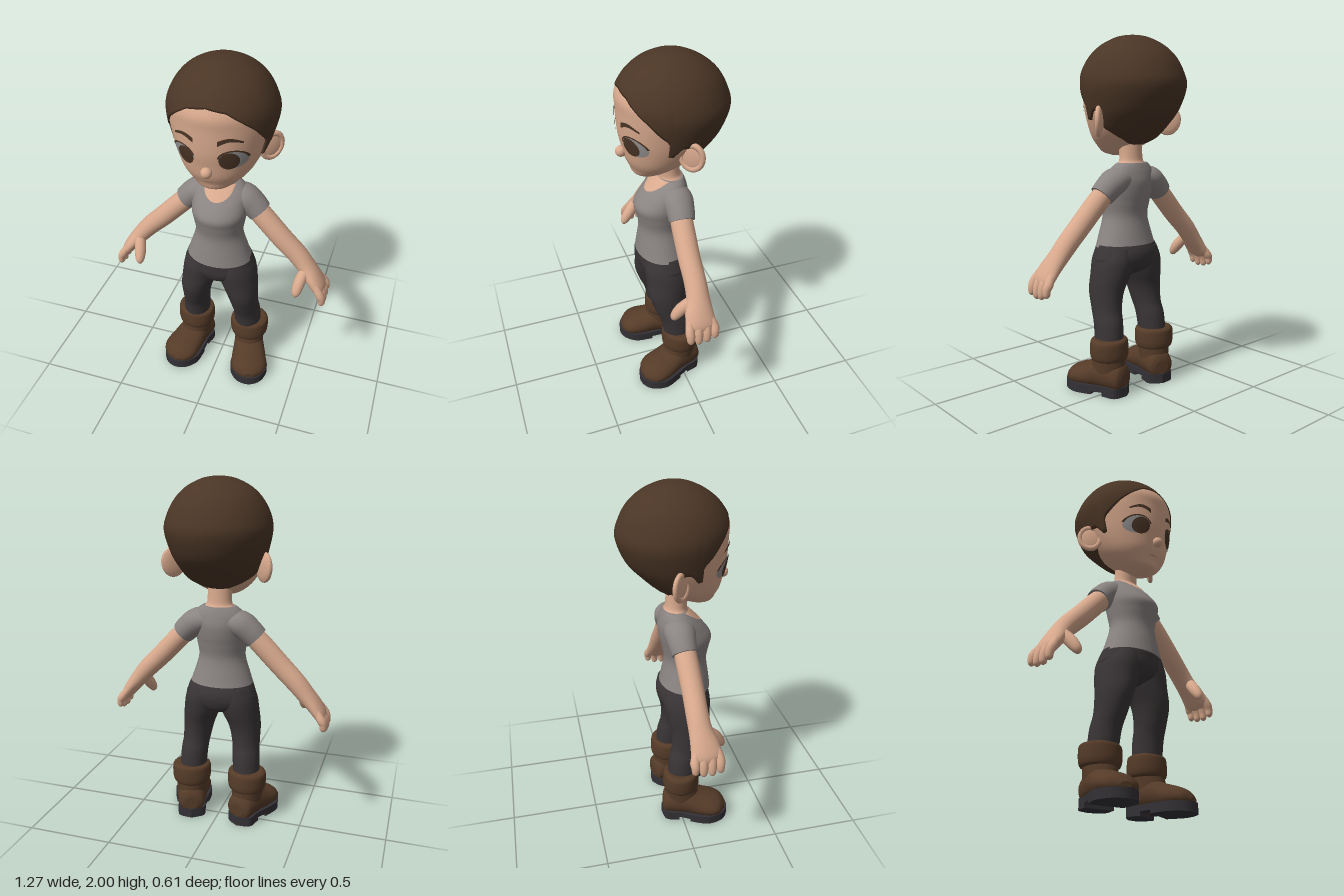
import * as THREE from 'three';

const mat = (name, color, side = THREE.FrontSide) => {
  const m = new THREE.MeshStandardMaterial({ color, side });
  m.name = name;
  return m;
};

// Smooth value between rows at t in 0..1
function sample(rows, t) {
  const f = Math.min(Math.max(t, 0), 1) * (rows.length - 1);
  const i = Math.min(Math.floor(f), rows.length - 2), s = f - i;
  const at = k => rows[Math.min(Math.max(k, 0), rows.length - 1)];
  const [a, b, c, d] = [at(i - 1), at(i), at(i + 1), at(i + 2)];
  return b.map((_, k) => 0.5 * (2 * b[k] + (c[k] - a[k]) * s + (2 * a[k] - 5 * b[k] + 4 * c[k] - d[k]) * s * s
    + (3 * b[k] - a[k] - 3 * c[k] + d[k]) * s * s * s));
}

// Row of an upright profile at height y
function atY(rows, y) {
  let lo = 0, hi = 1;
  for (let k = 0; k < 26; k++) {
    const m = (lo + hi) / 2;
    if (sample(rows, m)[1] < y) lo = m; else hi = m;
  }
  return sample(rows, (lo + hi) / 2);
}

// Grid of points f(u, v); its front is where du x dv points
function grid(f, nu, nv) {
  const pos = [], idx = [];
  for (let i = 0; i <= nu; i++) for (let j = 0; j <= nv; j++) pos.push(...f(i / nu, j / nv));
  for (let i = 0; i < nu; i++) for (let j = 0; j < nv; j++) {
    const a = i * (nv + 1) + j, b = a + nv + 1;
    idx.push(a, b, a + 1, a + 1, b, b + 1);
  }
  const g = new THREE.BufferGeometry();
  g.setAttribute('position', new THREE.Float32BufferAttribute(pos, 3));
  g.setIndex(idx);
  g.computeVertexNormals();
  return g;
}

// Elliptical sections swept through rows [x, y, z, sideRadius, otherRadius], closed with caps
function sweep(rows, { axis = null, side = [0, 0, 1], seg = 28, steps = 5 } = {}) {
  const n = (rows.length - 1) * steps, pos = [], idx = [];
  for (let i = 0; i <= n; i++) {
    const r = sample(rows, i / n);
    const p = sample(rows, (i - 0.5) / n), q = sample(rows, (i + 0.5) / n);
    const t = axis ? new THREE.Vector3(...axis) : new THREE.Vector3(q[0] - p[0], q[1] - p[1], q[2] - p[2]).normalize();
    const s = new THREE.Vector3(...side);
    s.addScaledVector(t, -s.dot(t)).normalize();
    const w = t.clone().cross(s);
    for (let j = 0; j < seg; j++) {
      const a = j / seg * Math.PI * 2;
      const v = new THREE.Vector3(r[0], r[1], r[2]).addScaledVector(w, r[4] * Math.cos(a)).addScaledVector(s, r[3] * Math.sin(a));
      pos.push(v.x, v.y, v.z);
    }
  }
  for (let i = 0; i < n; i++) for (let j = 0; j < seg; j++) {
    const a = i * seg + j, b = i * seg + (j + 1) % seg;
    idx.push(a, a + seg, b, b, a + seg, b + seg);
  }
  for (const end of [0, n]) {
    const base = pos.length / 3;
    pos.push(...pos.slice(end * seg * 3, (end + 1) * seg * 3), ...sample(rows, end / n).slice(0, 3));
    for (let j = 0; j < seg; j++) {
      const a = base + j, b = base + (j + 1) % seg;
      idx.push(...(end ? [a, base + seg, b] : [a, b, base + seg]));
    }
  }
  const g = new THREE.BufferGeometry();
  g.setAttribute('position', new THREE.Float32BufferAttribute(pos, 3));
  g.setIndex(idx);
  g.computeVertexNormals();
  return g;
}

// Thin plate laid on the front of an upright profile
const patch = (rows, f, lift, nu = 10, nv = 28) => grid((u, v) => {
  const [x, y] = f(u, v), r = atY(rows, y);
  return [x, y, r[2] + r[3] * Math.sqrt(Math.max(0, 1 - (x / r[4]) ** 2)) + lift];
}, nu, nv);
const oval = (cx, cy, rx, ry, r0 = 0, r1 = 1, a0 = 0, a1 = Math.PI * 2) => (u, v) => {
  const r = r0 + (r1 - r0) * u, a = a0 + (a1 - a0) * v;
  return [cx + rx * r * Math.cos(a), cy + ry * r * Math.sin(a)];
};

// Hair edge height by angle from the front
const HAIRLINE = [[0, 1.842], [0.38, 1.825], [0.6, 1.785], [0.83, 1.73], [1.06, 1.67], [1.25, 1.63], [1.3, 1.545],
  [1.42, 1.54], [1.5, 1.59], [1.68, 1.59], [1.85, 1.5], [2.3, 1.45], [2.7, 1.415], [3.15, 1.4]];
function hairEdge(a) {
  const i = Math.max(1, HAIRLINE.findIndex(p => p[0] >= a));
  const [p, q] = [HAIRLINE[i - 1], HAIRLINE[i]];
  return p[1] + (q[1] - p[1]) * (a - p[0]) / (q[0] - p[0]);
}

export function createModel() {
  const M = {
    skin: mat('skin', 0xd8a98d), hair: mat('dark brown hair', 0x4b3626, THREE.DoubleSide),
    shirt: mat('grey shirt', 0x8a8482), trousers: mat('charcoal trousers', 0x3a3536),
    boot: mat('brown leather', 0x553b28), sole: mat('dark rubber', 0x333135),
    eye: mat('eye grey', 0x959290), iris: mat('brown iris', 0x4a3526), lip: mat('lip', 0xb98470),
  };
  const model = new THREE.Group();
  model.name = 'figure';
  const add = (parent, name, geo, m) => {
    const mesh = new THREE.Mesh(geo, m);
    mesh.name = name;
    parent.add(mesh);
    return mesh;
  };
  const up = { axis: [0, 1, 0], seg: 48, steps: 6 };

  // Head and hair share one profile
  const cap = [[0, 1.342, 0.13, 0.035, 0.04], [0, 1.36, 0.13, 0.085, 0.095], [0, 1.4, 0.1, 0.132, 0.152],
    [0, 1.45, 0.07, 0.185, 0.198], [0, 1.52, 0.04, 0.23, 0.235], [0, 1.6, 0.012, 0.273, 0.264],
    [0, 1.72, -0.008, 0.298, 0.291], [0, 1.8, 0, 0.29, 0.278], [0, 1.88, 0, 0.247, 0.237], [0, 1.94, 0, 0.182, 0.18],
    [0, 1.98, 0, 0.108, 0.108], [0, 1.995, 0, 0.055, 0.055], [0, 2, 0, 0, 0]];
  const face = cap.slice(0, 10).map(([x, y, z, rz, rx]) => [x, y, z + 0.004, rz - 0.008, rx - 0.012]);
  add(model, 'head', sweep(face, up), M.skin);
  add(model, 'hair', grid((u, v) => {
    const a = (u * 2 - 1) * Math.PI, t = Math.min(1, v / 0.95), inset = v > 0.96 ? 0.025 : 0;
    const y = 2 - (2 - hairEdge(Math.abs(a))) * t * t, r = atY(cap, y);
    return [(r[4] - inset) * Math.sin(a), y, r[2] + (r[3] - inset) * Math.cos(a)];
  }, 120, 40).scale(1, 1, 1), M.hair);
  add(model, 'nose', new THREE.SphereGeometry(0.03, 20, 14).translate(0, 1.492, 0.272), M.skin);
  add(model, 'mouth', patch(face, (u, v) => [(u - 0.5) * 0.05, 1.418 + (v - 0.5) * 0.005], 0.003, 8, 2), M.lip);

  // Neck, shirt and neckline
  add(model, 'neck', sweep([[0, 1.2, 0.01, 0.06, 0.09], [0, 1.29, 0.006, 0.066, 0.088], [0, 1.325, 0.012, 0.06, 0.07],
    [0, 1.42, 0.02, 0.062, 0.068]], up), M.skin);
  const torso = [[0, 0.83, 0.06, 0.145, 0.188], [0, 0.9, 0.063, 0.133, 0.164], [0, 1, 0.065, 0.12, 0.135],
    [0, 1.08, 0.065, 0.134, 0.144], [0, 1.14, 0.063, 0.146, 0.154], [0, 1.2, 0.04, 0.13, 0.155],
    [0, 1.25, 0.02, 0.102, 0.15], [0, 1.285, 0.008, 0.08, 0.122], [0, 1.305, 0.002, 0.066, 0.096]];
  add(model, 'shirtBody', sweep(torso, up), M.shirt);
  add(model, 'neckline', patch(torso, (u, v) => {
    const s = u * 2 - 1, low = 1.303 - 0.073 * Math.sqrt(1 - s * s);
    return [s * 0.086, low + (1.304 - low) * v];
  }, 0.006, 24, 12), M.skin);
  add(model, 'trouserSeat', sweep([[0, 0.665, 0.05, 0.05, 0.03], [0, 0.7, 0.05, 0.12, 0.13], [0, 0.75, 0.05, 0.145, 0.206],
    [0, 0.8, 0.05, 0.148, 0.2], [0, 0.845, 0.057, 0.14, 0.183]], up), M.trousers);

  // Sole outline, x against z
  const half = [[0.075, -0.08], [0.082, 0], [0.105, 0.1], [0.112, 0.18], [0.07, 0.255]];
  const outline = new THREE.SplineCurve([[0, -0.115], ...half, [0, 0.282],
    ...half.map(([x, z]) => [-x, z]).reverse(), [0, -0.115]].map(p => new THREE.Vector2(...p))).getPoints(72);
  const slab = (z0, z1, y0, y1) => new THREE.ExtrudeGeometry(
    new THREE.Shape(outline.filter(p => p.y >= z0 && p.y <= z1)), { depth: y1 - y0, bevelEnabled: false })
    .rotateX(Math.PI / 2).translate(0, y1, 0);

  // Everything paired is built on the left (+x) and mirrored
  for (const s of [1, -1]) {
    const side = new THREE.Group();
    side.name = s > 0 ? 'leftSide' : 'rightSide';
    side.scale.x = s;
    model.add(side);

    // Eye and brow
    add(side, 'eyeWhite', patch(face, oval(0.128, 1.573, 0.066, 0.054), 0.003), M.eye);
    add(side, 'iris', patch(face, oval(0.112, 1.568, 0.047, 0.051), 0.006), M.iris);
    add(side, 'lash', patch(face, oval(0.128, 1.573, 0.066, 0.054, 0.95, 1.1, 0.1, 2.9), 0.007, 3), M.hair);
    add(side, 'brow', patch(face, (u, v) => [0.062 + 0.115 * u,
      1.671 + 0.02 * Math.sin(Math.PI * u) + (v - 0.5) * 0.028 * (1 - 0.6 * u)], 0.006, 20, 4), M.hair);

    // Ear
    const ear = new THREE.Group();
    ear.name = 'ear';
    ear.position.set(0.257, 1.535, -0.022);
    ear.rotation.set(0, Math.PI / 4, -0.22);
    side.add(ear);
    add(ear, 'earBowl', new THREE.SphereGeometry(1, 24, 16).scale(0.068, 0.078, 0.018).translate(0, 0, -0.006), M.skin);
    add(ear, 'earRim', new THREE.TorusGeometry(0.058, 0.014, 10, 32).scale(1, 1.17, 1), M.skin);

    // Sleeve, arm and hand
    add(side, 'sleeve', sweep([[0.05, 1.22, 0.005, 0.075, 0.055], [0.12, 1.208, 0.005, 0.086, 0.075],
      [0.175, 1.17, 0.006, 0.077, 0.073], [0.214, 1.131, 0.01, 0.07, 0.068]]), M.shirt);
    add(side, 'arm', sweep([[0.17, 1.17, 0.01, 0.06, 0.058], [0.25, 1.09, 0.015, 0.061, 0.06], [0.35, 0.985, 0.02, 0.06, 0.059],
      [0.44, 0.895, 0.02, 0.06, 0.056], [0.5, 0.825, 0.025, 0.064, 0.05], [0.55, 0.765, 0.035, 0.078, 0.042],
      [0.585, 0.715, 0.038, 0.08, 0.034], [0.6, 0.688, 0.04, 0.05, 0.018]]), M.skin);
    [[0.105, 0.012], [0.06, 0], [0.014, 0.003], [-0.03, 0.018]].forEach(([z, lift], i) => {
      add(side, 'finger' + (i + 1), sweep([[0.565, 0.755, 0.01 + z * 0.8, 0.02, 0.02], [0.598, 0.705, z, 0.025, 0.024],
        [0.612, 0.662 + lift, z, 0.023, 0.022], [0.614, 0.63 + lift, z, 0.018, 0.018], [0.614, 0.617 + lift, z, 0.005, 0.005]],
      { seg: 14, steps: 4 }), M.skin);
    });
    add(side, 'thumb', sweep([[0.5, 0.825, 0.055, 0.03, 0.03], [0.482, 0.77, 0.105, 0.034, 0.033],
      [0.474, 0.727, 0.138, 0.028, 0.028], [0.471, 0.703, 0.15, 0.018, 0.018], [0.47, 0.692, 0.154, 0.004, 0.004]],
    { seg: 16, steps: 4 }), M.skin);

    // Leg
    add(side, 'trouserLeg', sweep([[0.166, 0.28, 0.01, 0.085, 0.078], [0.16, 0.4, 0.025, 0.09, 0.079],
      [0.152, 0.48, 0.05, 0.096, 0.08], [0.14, 0.58, 0.065, 0.112, 0.092], [0.114, 0.68, 0.056, 0.127, 0.109],
      [0.1, 0.76, 0.053, 0.135, 0.109], [0.09, 0.83, 0.053, 0.125, 0.088]], up), M.trousers);

    // Boot, toes turned outward
    const boot = new THREE.Group();
    boot.name = 'boot';
    boot.position.set(0.172, 0, 0);
    boot.rotation.y = 0.28;
    side.add(boot);
    add(boot, 'bootFoot', sweep([[0, 0.095, -0.106, 0.04, 0.04], [0, 0.1, -0.088, 0.074, 0.075], [0, 0.11, -0.03, 0.086, 0.09],
      [0, 0.11, 0.05, 0.094, 0.09], [0, 0.092, 0.12, 0.104, 0.076], [0, 0.082, 0.19, 0.107, 0.063],
      [0, 0.074, 0.24, 0.083, 0.047], [0, 0.068, 0.27, 0.03, 0.018]], { axis: [0, 0, 1], side: [1, 0, 0], seg: 32 }), M.boot);
    add(boot, 'bootShaft', sweep([[0, 0.08, 0.01, 0.1, 0.085], [0, 0.16, 0.008, 0.1, 0.088], [0, 0.24, 0, 0.088, 0.09]], up), M.boot);
    add(boot, 'bootCuff', sweep([[0, 0.2, 0.003, 0.085, 0.088], [0, 0.207, 0.003, 0.1, 0.104], [0, 0.235, 0.003, 0.107, 0.113],
      [0, 0.285, 0.003, 0.105, 0.115], [0, 0.312, 0.003, 0.1, 0.11], [0, 0.322, 0.003, 0.086, 0.092]], up), M.boot);
    add(boot, 'sole', slab(-1, 1, 0.022, 0.056), M.sole);
    add(boot, 'heel', slab(-1, 0, 0, 0.024), M.sole);
    add(boot, 'foreSole', slab(0.06, 1, 0.004, 0.024), M.sole);
  }
  return model;
}
